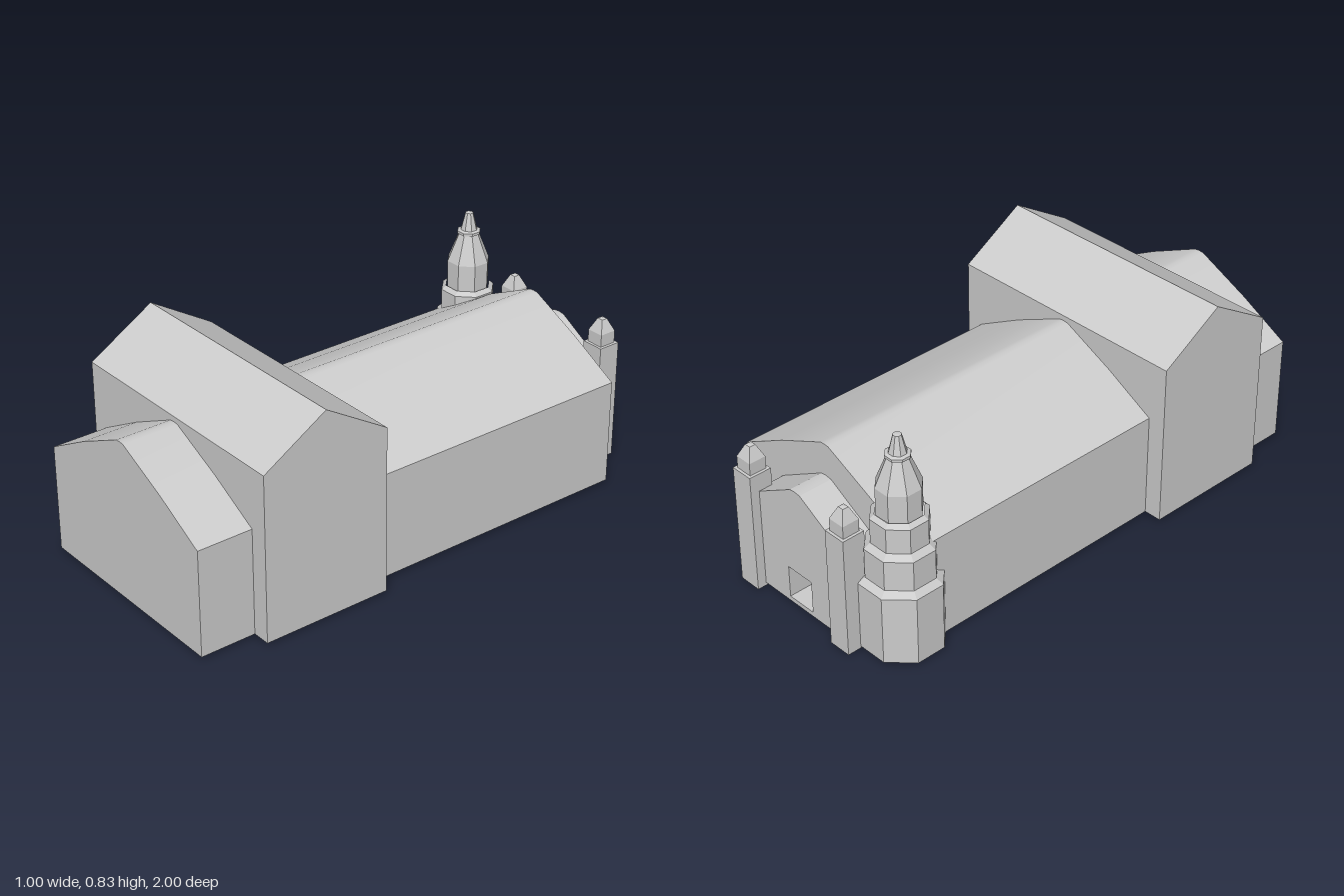
import * as THREE from 'three';
import { toCreasedNormals } from 'three/addons/utils/BufferGeometryUtils.js';

const BASE = 0.012;

export function createModel() {
  const model = new THREE.Group();
  const material = new THREE.MeshStandardMaterial({ color: 0xcccccc });
  const flat = new THREE.MeshStandardMaterial({ color: 0xcccccc, flatShading: true });

  const add = (name, geometry, mat = flat, parent = model) => {
    const mesh = new THREE.Mesh(geometry, mat);
    mesh.name = name;
    parent.add(mesh);
    return mesh;
  };

  // Symmetric gable outline from the right-hand roof points, eaves to ridge
  const gable = (roof) => {
    const half = roof[0][0];
    const left = roof.filter(([x]) => x > 0).reverse().map(([x, y]) => [-x, y]);
    const points = [[-half, BASE], [half, BASE], ...roof, ...left];
    return new THREE.Shape(points.map(([x, y]) => new THREE.Vector2(x, y)));
  };
  const extrude = (shape, z0, z1) => toCreasedNormals(
    new THREE.ExtrudeGeometry(shape, { depth: z1 - z0, bevelEnabled: false }).translate(0, 0, z0), 0.35);

  // Long nave with a slightly bowed roof
  add('nave', extrude(gable([[0.43, 0.42], [0.23, 0.529], [0.02, 0.628], [0, 0.63]]), -0.83, 1), material);

  // Cross wing, its ridge running along x
  const wing = extrude(gable([[0.2525, 0.65], [0, 0.803]]), -0.5, 0.5);
  wing.rotateY(Math.PI / 2).translate(0, 0, 0.5325);
  add('crossWing', wing, material);

  // Entrance porch with a square doorway
  const porch = gable([[0.235, 0.38], [0.125, 0.443], [0.025, 0.5], [0, 0.503]]);
  porch.holes.push(new THREE.Path([[-0.06, 0.03], [-0.06, 0.158], [0.06, 0.158], [0.06, 0.03]]
    .map(([x, y]) => new THREE.Vector2(x, y))));
  add('porch', extrude(porch, -0.965, -0.825), material);

  // Stacked prism: profile of [apothem, y], with flats facing the axes
  const prism = (profile, sides) => {
    const k = 1 / Math.cos(Math.PI / sides);
    const points = profile.map(([r, y]) => new THREE.Vector2(r * k, y));
    return new THREE.LatheGeometry(points, sides, Math.PI / sides);
  };

  // Square corner pillars with pointed caps
  for (const side of [1, -1]) {
    const pillar = new THREE.Group();
    pillar.name = side > 0 ? 'leftPillar' : 'rightPillar';
    pillar.position.set(side * 0.24, 0, -0.955);
    add('pillarShaft', prism([[0, 0], [0.045, 0], [0.045, 0.472], [0, 0.472]], 4), flat, pillar);
    add('pillarCap', prism([[0.034, 0.47], [0.034, 0.52], [0.012, 0.568], [0, 0.572]], 4), flat, pillar);
    model.add(pillar);
  }

  // Octagonal bell tower in three stepped tiers
  const tower = new THREE.Group();
  tower.name = 'bellTower';
  tower.position.set(-0.344, 0, -0.807);
  add('towerTiers', prism([[0, 0.009], [0.14, 0.009], [0.14, 0.275], [0.117, 0.295], [0.117, 0.41],
    [0.096, 0.43], [0.096, 0.525], [0.08, 0.54]], 8), flat, tower);
  add('towerLantern', prism([[0.075, 0.535], [0.076, 0.642], [0.036, 0.75]], 8), flat, tower);
  add('towerCollar', prism([[0.034, 0.748], [0.042, 0.752], [0.042, 0.762], [0.03, 0.766]], 8), flat, tower);
  add('towerSpire', prism([[0.03, 0.764], [0.014, 0.833], [0, 0.835]], 8), flat, tower);
  model.add(tower);

  return model;
}
